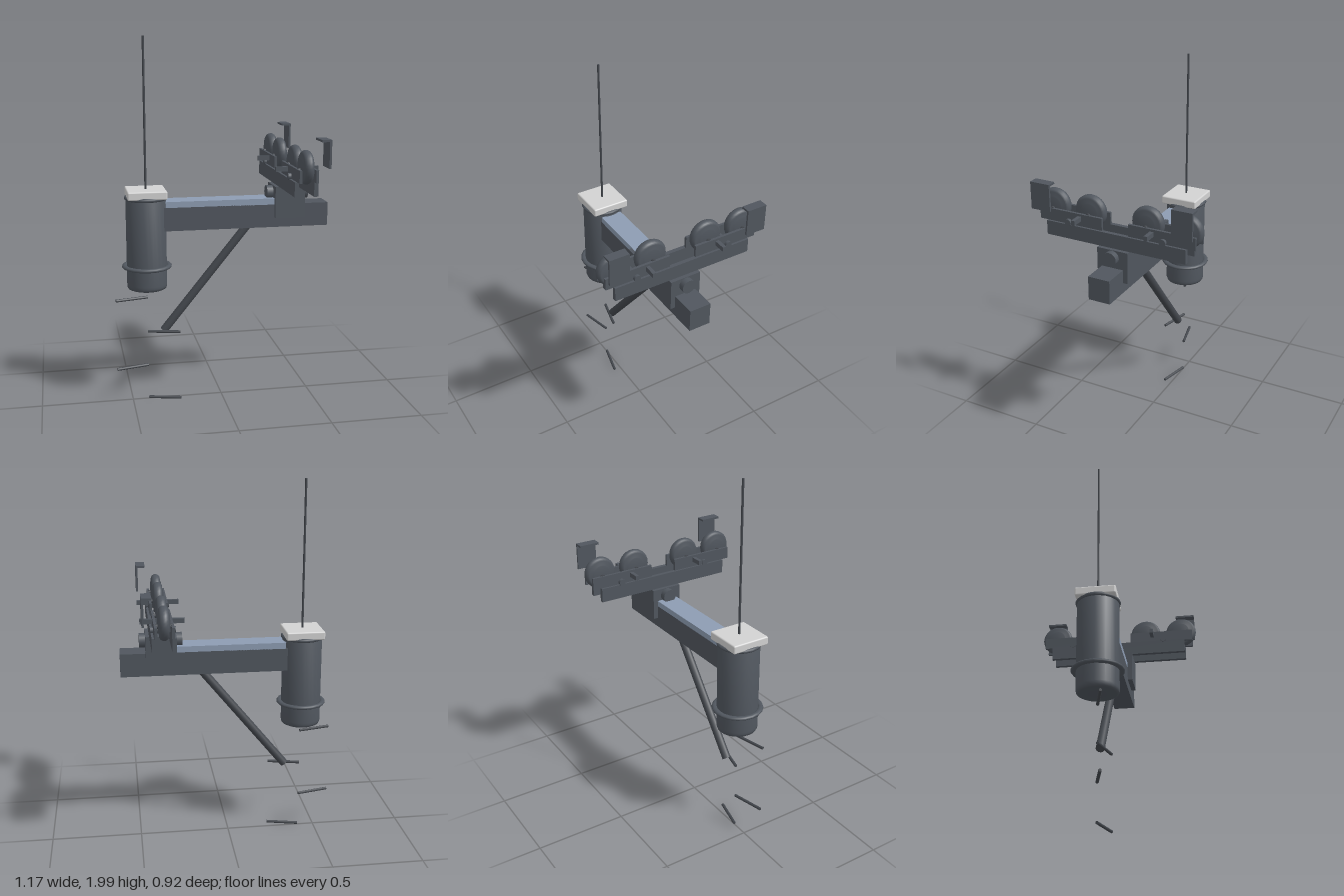
import * as THREE from 'three';
import { RoundedBoxGeometry } from 'three/addons/geometries/RoundedBoxGeometry.js';

const mat = (name, color) => new THREE.MeshStandardMaterial({ name, color });

export function createModel() {
  const steel = mat('steel', 0x50565e);
  const dark = mat('dark steel', 0x44484e);
  const pale = mat('pale cap', 0xd2d2d2);
  const blue = mat('blue rail', 0x8d9cb2);
  const model = new THREE.Group();

  const add = (name, geo, material, x = 0, y = 0, z = 0, parent = model) => {
    const mesh = new THREE.Mesh(geo, material);
    mesh.name = name;
    mesh.position.set(x, y, z);
    parent.add(mesh);
    return mesh;
  };
  // box from its minimum and maximum corners
  const box = (name, a, b, material, parent) => add(name,
    new THREE.BoxGeometry(b[0] - a[0], b[1] - a[1], b[2] - a[2]), material,
    (a[0] + b[0]) / 2, (a[1] + b[1]) / 2, (a[2] + b[2]) / 2, parent);
  // round bar between two points
  const rod = (name, a, b, r, material, sides = 12, parent = model) => {
    const p = new THREE.Vector3(...a), q = new THREE.Vector3(...b);
    const dir = q.clone().sub(p);
    const m = add(name, new THREE.CylinderGeometry(r, r, dir.length(), sides), material, 0, 0, 0, parent);
    m.position.copy(p).add(q).multiplyScalar(0.5);
    m.quaternion.setFromUnitVectors(new THREE.Vector3(0, 1, 0), dir.normalize());
    return m;
  };
  const ring = (name, R, r, y, squash) => {
    const m = add(name, new THREE.TorusGeometry(R, r, 10, 20), steel, PX, y, 0);
    m.rotation.x = Math.PI / 2;
    m.scale.z = squash;
  };

  // Post with rounded foot, rings, cap and mast
  const PX = -0.41;
  const post = [[0, 0.65], [0.095, 0.65], [0.105, 0.655], [0.109, 0.668], [0.109, 0.68], [0.109, 1.155], [0, 1.155]]
    .map(p => new THREE.Vector2(...p));
  add('post', new THREE.LatheGeometry(post, 24), steel, PX);
  ring('lowerRing', 0.121, 0.015, 0.776, 0.7);
  ring('upperRing', 0.106, 0.011, 1.153, 1);
  add('cap', new RoundedBoxGeometry(0.21, 0.046, 0.21, 3, 0.008), pale, PX, 1.177, 0);
  rod('mast', [PX, 1.19, 0], [PX, 2, 0], 0.006, dark, 8);

  // Arm, rail on top and diagonal strut
  box('arm', [-0.4, 0.975, -0.06], [0.585, 1.102, 0.06], steel);
  box('topRail', [-0.31, 1.1, -0.06], [0.3, 1.134, 0.06], blue);
  rod('strut', [0.155, 0.99, 0], [-0.322, 0.402, 0], 0.023, dark);

  // Alternating climbing rungs
  [0.013, 0.4, 0.205, 0.597].forEach((y, i) => {
    const side = i < 2 ? 1 : -1;
    rod('rung', [PX, y, 0], [PX + side * 0.175, y, 0.042], 0.008, dark, 8);
  });

  // Saddle with its pivot pin
  const CX = 0.366;
  box('saddle', [0.284, 1.03, -0.086], [0.448, 1.2, 0.086], steel);
  rod('saddlePin', [0.25, 1.16, 0], [0.48, 1.16, 0], 0.038, steel, 20);

  // Twin cross beams
  for (const s of [-1, 1]) {
    const x = CX + s * 0.051;
    box('crossBeam', [x - 0.011, 1.2, -0.393], [x + 0.011, 1.277, 0.393], steel);
  }

  // Grooveless rounded wheel, spun about x
  const tread = [[0, -0.03], [0.045, -0.03], [0.048, -0.024], [0.072, -0.024], [0.081, -0.018], [0.087, -0.007],
    [0.087, 0.007], [0.081, 0.018], [0.072, 0.024], [0.048, 0.024], [0.045, 0.03], [0, 0.03]];
  const wheelGeo = new THREE.LatheGeometry(tread.map(p => new THREE.Vector2(...p)), 28);
  wheelGeo.rotateZ(-Math.PI / 2);

  // Front and back bogies
  for (const s of [-1, 1]) {
    const bogie = new THREE.Group();
    bogie.name = s > 0 ? 'frontBogie' : 'backBogie';
    model.add(bogie);
    const zBox = (name, x0, x1, y0, y1, z0, z1, m) =>
      box(name, [x0, y0, Math.min(s * z0, s * z1)], [x1, y1, Math.max(s * z0, s * z1)], m, bogie);
    for (const t of [-1, 1]) {
      const x = CX + t * 0.043;
      zBox('sidePlate', x - 0.007, x + 0.007, 1.277, 1.342, 0.075, 0.438, steel);
    }
    for (const z of [0.162, 0.372]) {
      add('wheel', wheelGeo, steel, CX, 1.35, s * z, bogie);
      rod('axle', [CX - 0.042, 1.335, s * z], [CX + 0.042, 1.335, s * z], 0.012, dark, 12, bogie);
    }
    rod('bogiePin', [0.3, 1.288, s * 0.268], [0.431, 1.288, s * 0.268], 0.018, steel, 16, bogie);
    zBox('crossBar', 0.25, 0.48, 1.305, 1.33, 0.194, 0.214, steel);
    // bent guard plate
    zBox('guardPlate', 0.466, 0.477, 1.35, 1.495, 0.338, 0.448, steel);
    zBox('guardLip', 0.426, 0.468, 1.484, 1.495, 0.338, 0.448, steel);
  }
  return model;
}
